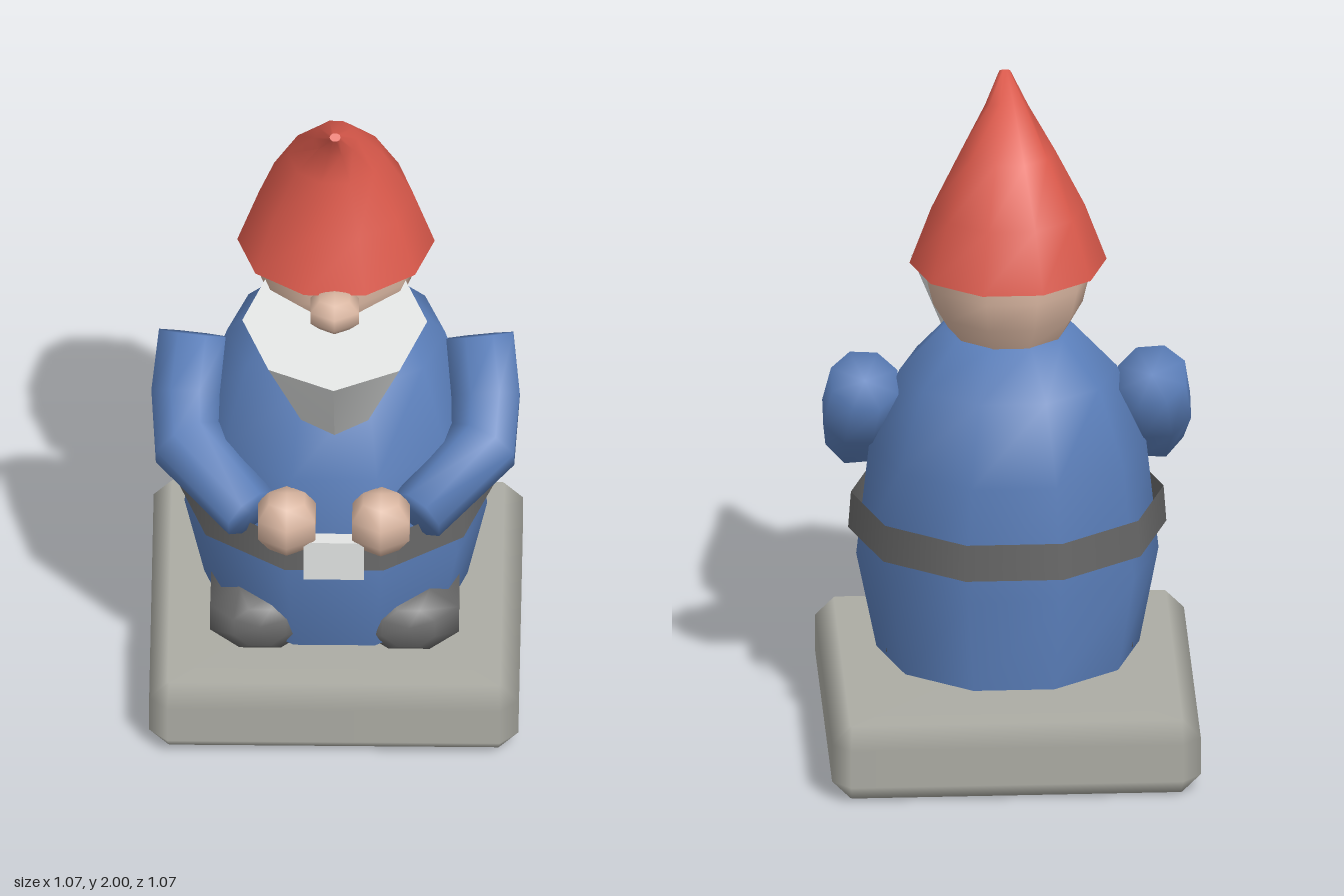
import * as THREE from 'three';
import { toCreasedNormals } from 'three/addons/utils/BufferGeometryUtils.js';

const paint = (name, color, side = THREE.FrontSide) => {
  const m = new THREE.MeshStandardMaterial({ color, side });
  m.name = name;
  return m;
};

// Skin over rings of equal point count, ordered along the axis; the start may stay open
function loft(rings, crease = 0.95, closedStart = true) {
  const pos = [];
  const tri = (a, b, c) => pos.push(...a.toArray(), ...b.toArray(), ...c.toArray());
  const n = rings[0].length;
  const centre = (r) => r.reduce((s, p) => s.add(p), new THREE.Vector3()).divideScalar(n);
  const first = rings[0], last = rings[rings.length - 1];
  const c0 = centre(first), c1 = centre(last);
  for (let j = 0; j < n; j++) {
    const k = (j + 1) % n;
    if (closedStart) tri(c0, first[j], first[k]);
    for (let i = 0; i < rings.length - 1; i++) {
      const a = rings[i], b = rings[i + 1];
      tri(a[j], b[j], a[k]);
      tri(a[k], b[j], b[k]);
    }
    tri(c1, last[k], last[j]);
  }
  const g = new THREE.BufferGeometry();
  g.setAttribute('position', new THREE.Float32BufferAttribute(pos, 3));
  return toCreasedNormals(g, crease);
}

// Ten-sided ring given its half width and its back and front points
function ring(rx, yBack, zBack, yFront, zFront) {
  const flat = Math.sin(Math.PI * 0.4);
  return Array.from({ length: 10 }, (_, i) => {
    const a = (i * Math.PI) / 5;
    const t = 0.5 + (0.5 * Math.sin(a)) / flat;
    return new THREE.Vector3(rx * Math.cos(a), yBack + (yFront - yBack) * t, zBack + (zFront - zBack) * t);
  });
}
const level = ([y, rx, zBack, zFront]) => ring(rx, y, zBack, y, zFront);

// Soft octagonal tube along a short path of [x, y, z, radius]
function limb(path) {
  const pts = path.map((p) => new THREE.Vector3(p[0], p[1], p[2]));
  return loft(pts.map((p, i) => {
    const d = pts[Math.min(i + 1, pts.length - 1)].clone().sub(pts[Math.max(i - 1, 0)]).normalize();
    const u = new THREE.Vector3(1, 0, 0).addScaledVector(d, -d.x).normalize();
    const v = u.clone().cross(d);
    return Array.from({ length: 8 }, (_, k) => {
      const a = ((k + 0.5) * Math.PI) / 4;
      return p.clone().addScaledVector(u, path[i][3] * Math.cos(a)).addScaledVector(v, path[i][3] * Math.sin(a));
    });
  }), 2);
}

// Hollow plinth, open below, with soft chamfers between flat faces
function plinthGeometry() {
  const slab = (y, h, c) =>
    [[h, -c], [h, c], [c, h], [-c, h], [-h, c], [-h, -c], [-c, -h], [c, -h]].map(([x, z]) => new THREE.Vector3(x, y, z));
  const g = loft([slab(0, 0.48, 0.475), slab(0.055, 0.533, 0.48), slab(0.17, 0.533, 0.48), slab(0.225, 0.48, 0.475)], 0.6, false);
  const core = new THREE.Box3(new THREE.Vector3(-0.479, 0.055, -0.479), new THREE.Vector3(0.479, 0.17, 0.479));
  const p = new THREE.Vector3(), inner = new THREE.Vector3();
  for (let i = 0; i < g.attributes.position.count; i++) {
    p.fromBufferAttribute(g.attributes.position, i);
    p.sub(core.clampPoint(p, inner)).normalize();
    g.attributes.normal.setXYZ(i, p.x, p.y, p.z);
  }
  return g;
}

// Coarse ball with a corner facing forward
const ball = (w, h) => new THREE.SphereGeometry(1, w, h).rotateY(Math.PI / 2);

export function createModel() {
  const group = new THREE.Group();
  const stone = paint('stone grey', 0xacaca4, THREE.DoubleSide);
  const blue = paint('coat blue', 0x597db8);
  const dark = paint('dark leather', 0x666666, THREE.DoubleSide);
  const skin = paint('skin', 0xd8b5a0);
  const red = paint('hat red', 0xda594b);
  const pale = paint('pale grey', 0xe2e4e3);

  const add = (name, geometry, material) => {
    const m = new THREE.Mesh(geometry, material);
    m.name = name;
    group.add(m);
    return m;
  };

  add('plinth', plinthGeometry(), stone).position.z = -0.003;

  // Round coat: height, half width, back, front
  add('body', loft([
    [0.27, 0.38, -0.342, 0.35],
    [0.55, 0.437, -0.355, 0.423],
    [0.9, 0.4, -0.342, 0.385],
    [1.14, 0.315, -0.282, 0.265],
    [1.27, 0.19, -0.17, 0.17],
  ].map(level)), blue);

  // Belt band and buckle
  const belt = add('belt', new THREE.CylinderGeometry(0.452, 0.46, 0.11, 10, 1, true).rotateY(Math.PI / 2), dark);
  belt.scale.z = 0.965;
  belt.position.set(0, 0.685, 0.04);
  const plate = new THREE.Shape();
  [[-0.087, 0.615], [0.087, 0.615], [0.087, 0.735], [0.07, 0.748], [-0.07, 0.748], [-0.087, 0.735]]
    .forEach(([x, y], i) => (i ? plate.lineTo(x, y) : plate.moveTo(x, y)));
  add('buckle', new THREE.ExtrudeGeometry(plate, { depth: 0.045, bevelEnabled: false }), pale).position.z = 0.442;

  // Head, nose, beard
  add('head', loft([
    [1.265, 0.17, -0.17, 0.15],
    [1.34, 0.216, -0.208, 0.21],
    [1.43, 0.238, -0.232, 0.24],
    [1.52, 0.23, -0.22, 0.22],
  ].map(level)), skin);
  const nose = add('nose', ball(6, 5), skin);
  nose.scale.set(0.085, 0.062, 0.08);
  nose.position.set(0, 1.43, 0.27);

  // Upturned cone with a sloping top, its point buried in the coat
  const beardRing = (s) => Array.from({ length: 8 }, (_, i) => {
    const a = (i * Math.PI) / 4;
    const top = new THREE.Vector3(0.267 * Math.cos(a), 1.385 - 0.05 * Math.sin(a), 0.26 + 0.267 * Math.sin(a));
    return new THREE.Vector3(0, 0.75, 0.155).lerp(top, s);
  });
  add('beard', loft([beardRing(0.01), beardRing(1)]), pale);

  // Hat bending forward to a point
  add('hat', loft([
    ring(0.285, 1.475, -0.268, 1.475, 0.257),
    ring(0.222, 1.655, -0.22, 1.64, 0.203),
    ring(0.138, 1.815, -0.11, 1.8, 0.148),
    ring(0.062, 1.945, 0.04, 1.9, 0.148),
    ring(0.016, 2.0, 0.17, 1.985, 0.19),
  ]), red);

  // Arms, hands and shoes in mirrored pairs
  for (const s of [1, -1]) {
    const side = s > 0 ? 'left' : 'right';
    add(side + 'Arm', limb([
      [0.415 * s, 1.115, -0.025, 0.105],
      [0.433 * s, 0.975, 0.075, 0.107],
      [0.427 * s, 0.88, 0.185, 0.11],
      [0.24 * s, 0.787, 0.4, 0.088],
    ]), blue);

    const hand = add(side + 'Hand', ball(6, 5), skin);
    hand.scale.setScalar(0.101);
    hand.position.set(0.136 * s, 0.79, 0.437);

    // Long shoe with a blunt, slightly raised toe
    const shoe = add(side + 'Shoe', limb([
      [0, 0, -0.14, 0.06],
      [0, 0, -0.08, 0.112],
      [0, 0, 0.3, 0.114],
      [0, 0.025, 0.38, 0.06],
    ]), dark);
    shoe.scale.x = 1.37;
    shoe.position.set(0.215 * s, 0.33, 0);
  }
  return group;
}
